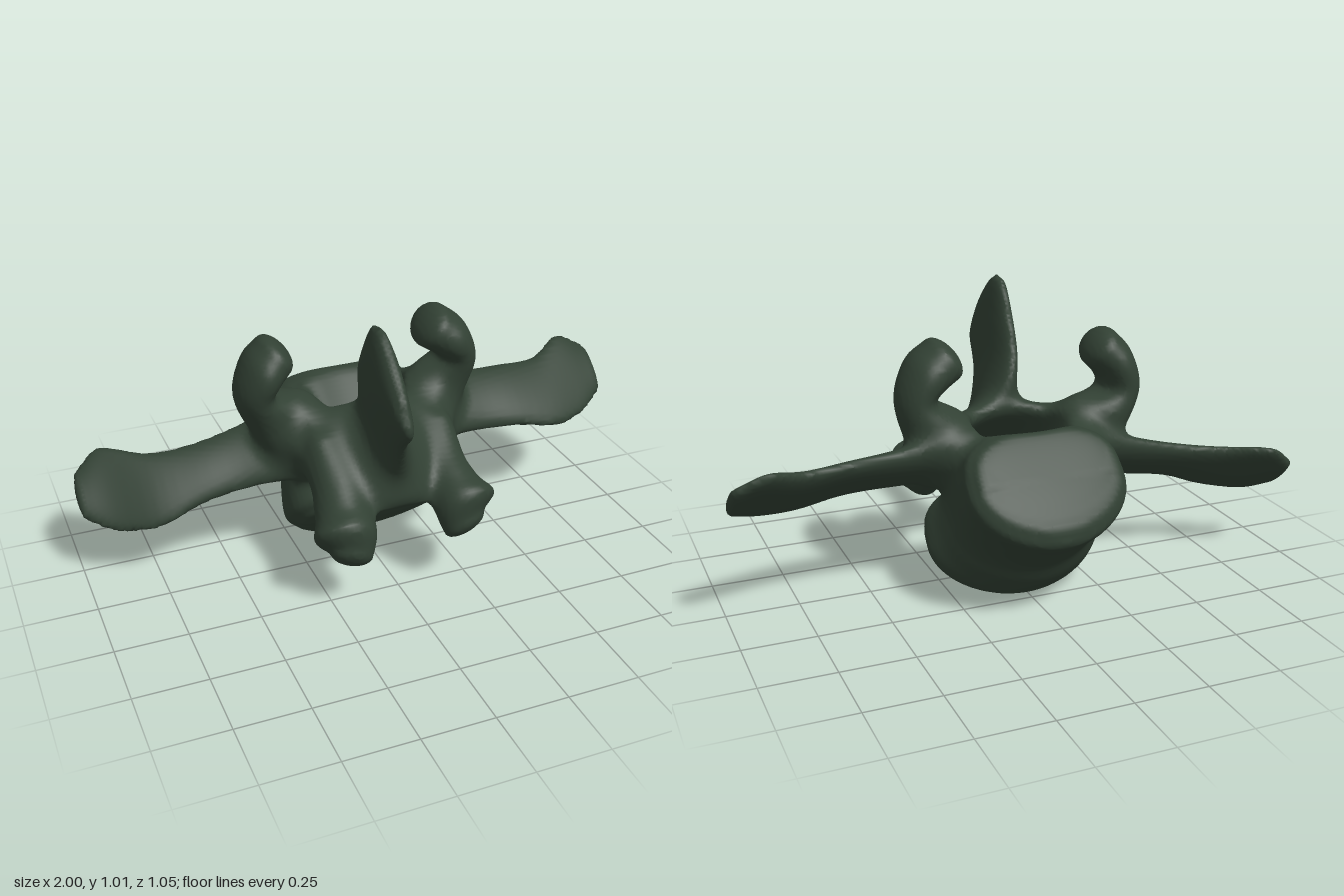
import * as THREE from 'three';

const bone = new THREE.MeshStandardMaterial({ color: 0x324134, roughness: 0.8 });
const CELL = 0.013, BLEND = 0.05;
const ORIGIN = [-1.04, -0.04, -0.6], SIZE = [160, 87, 93];

// A part is a tube of elliptical cross-sections. Each row: centre xyz, half-axis u xyz, half-axis v xyz.
// cap = roundness of the ends; power(b) = superellipse power on the +v or -v side.
function part(name, rows, cap = 0.03, power = () => 2) {
  const track = (k) => new THREE.CatmullRomCurve3(
    rows.map((r) => new THREE.Vector3(r[k], r[k + 1], r[k + 2])), false, 'catmullrom', 0.5);
  const [centre, us, vs] = [track(0), track(3), track(6)];
  const count = (rows.length - 1) * 4;
  const box = new THREE.Box3();
  const sections = Array.from({ length: count + 1 }, (_, i) => {
    const t = i / count, c = centre.getPoint(t), u = us.getPoint(t), v = vs.getPoint(t);
    v.addScaledVector(u, -u.dot(v) / u.lengthSq());
    const n = u.clone().cross(v).normalize();
    if (n.dot(centre.getTangent(t)) < 0) n.negate();
    const reach = u.length() + v.length() + cap;
    box.union(new THREE.Box3(c.clone().subScalar(reach), c.clone().addScalar(reach)));
    return { c, u, v, n };
  });
  return { name, sections, cap, power, box: box.expandByScalar(0.06) };
}

// Approximate signed distance from a point to a part
const q = new THREE.Vector3(), U = new THREE.Vector3(), V = new THREE.Vector3();
function distance({ sections, cap, power, box }, p) {
  let best = 0.2;
  if (!box.containsPoint(p)) return best;
  const last = sections.length - 2;
  for (let i = 0; i <= last; i++) {
    const A = sections[i], B = sections[i + 1];
    const s0 = q.subVectors(p, A.c).dot(A.n), s1 = q.subVectors(p, B.c).dot(B.n);
    let t = 0, h = 0;
    if (s0 >= 0 && s1 <= 0) t = s0 / (s0 - s1 || 1);
    else if (i === 0 && s0 < 0) h = -s0;
    else if (i === last && s1 > 0) [t, h] = [1, s1];
    else continue;
    q.lerpVectors(A.c, B.c, t).subVectors(p, q);
    U.lerpVectors(A.u, B.u, t);
    V.lerpVectors(A.v, B.v, t);
    const lu = U.length(), lv = V.length();
    const a = q.dot(U) / (lu * lu), b = q.dot(V) / (lv * lv), e = h / cap, m = power(b);
    const k = Math.max((Math.abs(a) ** m + Math.abs(b) ** m + e ** m) ** (1 / m), 1e-4);
    const slope = Math.hypot((Math.abs(a) / k) ** (m - 1) / lu,
      (Math.abs(b) / k) ** (m - 1) / lv, (e / k) ** (m - 1) / cap);
    best = Math.min(best, (k - 1) / Math.max(slope, 1e-3));
  }
  return best;
}

function smoothMin(a, b, k) {
  const h = Math.max(k - Math.abs(a - b), 0) / k;
  return Math.min(a, b) - h * h * k / 4;
}

// Skin the blended parts with one seamless surface, then split it into a named mesh per part
function skin(parts, hollow) {
  const [nx, ny, nz] = SIZE, step = [1, nx, nx * ny];
  const p = new THREE.Vector3();
  const field = new Float32Array(nx * ny * nz);
  const each = (visit) => {
    for (let z = 1; z < nz - 1; z++)
      for (let y = 1; y < ny - 1; y++)
        for (let x = 1; x < nx - 1; x++) visit(x + y * nx + z * nx * ny, [x, y, z]);
  };
  field.fill(0.2);
  each((id, at) => {
    p.fromArray(at).multiplyScalar(CELL).add(q.fromArray(ORIGIN));
    const solid = parts.reduce((d, s) => smoothMin(d, distance(s, p), BLEND), 0.2);
    field[id] = -smoothMin(-solid, distance(hollow, p), 0.03);
  });

  // One vertex per cell the surface passes through, at the mean of its edge crossings
  const positions = [], owner = [], vertex = new Map();
  each((id, at) => {
    const sum = [0, 0, 0];
    let hits = 0;
    for (let d = 0; d < 3; d++) {
      const d1 = (d + 1) % 3, d2 = (d + 2) % 3;
      for (let c = 0; c < 4; c++) {
        const i = c & 1, j = c >> 1;
        const from = id + i * step[d1] + j * step[d2];
        const f0 = field[from], f1 = field[from + step[d]];
        if ((f0 < 0) === (f1 < 0)) continue;
        sum[d] += f0 / (f0 - f1);
        sum[d1] += i;
        sum[d2] += j;
        hits++;
      }
    }
    if (!hits) return;
    p.fromArray(at.map((g, d) => ORIGIN[d] + CELL * (g + sum[d] / hits)));
    vertex.set(id, owner.length);
    positions.push(p.x, p.y, p.z);
    const near = parts.map((s) => distance(s, p));
    owner.push(near.indexOf(Math.min(...near)));
  });

  // One quad per grid edge the surface crosses
  const all = [], perPart = parts.map(() => []);
  each((id) => {
    for (let d = 0; d < 3; d++) {
      const inside = field[id] < 0;
      if (inside === (field[id + step[d]] < 0)) continue;
      const s1 = step[(d + 1) % 3], s2 = step[(d + 2) % 3];
      const [a, b, c, e] = [id - s1 - s2, id - s2, id, id - s1].map((i) => vertex.get(i));
      const quad = inside ? [a, b, c, a, c, e] : [a, c, b, a, e, c];
      all.push(...quad);
      perPart[owner[a]].push(...quad);
    }
  });

  const whole = new THREE.BufferGeometry();
  whole.setAttribute('position', new THREE.Float32BufferAttribute(positions, 3));
  whole.setIndex(all);
  whole.computeVertexNormals();
  return parts.map((s, i) => {
    const mesh = new THREE.Mesh(whole.clone().setIndex(perPart[i]).toNonIndexed(), bone);
    mesh.name = s.name;
    return mesh;
  });
}

export function createModel() {
  // Tilted body: round at the front, flatter towards the canal, pinched at the waist
  const parts = [part('body', [
    [0.01, 0.146, -0.045, 0.27, 0, 0, 0, -0.138, -0.115],
    [0.01, 0.168, -0.08, 0.305, 0, 0, 0, -0.15, -0.15],
    [0, 0.235, -0.15, 0.285, 0, 0, 0, -0.15, -0.15],
    [0, 0.32, -0.225, 0.26, 0, 0, 0, -0.15, -0.135],
    [0, 0.40, -0.31, 0.265, 0, 0, 0, -0.155, -0.137],
    [0, 0.455, -0.375, 0.275, 0, 0, 0, -0.155, -0.142],
    [0, 0.485, -0.40, 0.25, 0, 0, 0, -0.135, -0.12],
  ], 0.02, (b) => (b < 0 ? 3 : 1.9))];

  // Lamina: broad plate roofing the canal from side to side
  const half = [
    [0.22, 0.47, 0.085, 0, 0.12, -0.125, 0, 0.05, 0.047],
    [0.13, 0.475, 0.125, 0, 0.13, -0.14, 0, 0.048, 0.045],
  ];
  const mirrored = half.map((r) => r.map((n, i) => (i === 0 ? -n : n)));
  parts.push(part('lamina', [
    ...half, [0, 0.495, 0.15, 0, 0.13, -0.145, 0, 0.055, 0.05], ...mirrored.reverse(),
  ], 0.035));

  // Spinous process: thin blade leaning to the model's right, flaring into the lamina
  parts.push(part('spinousProcess', [
    [0, 0.47, 0.155, 0.15, 0, 0, 0, 0.09, -0.12],
    [-0.008, 0.54, 0.16, 0.095, 0, 0, 0, 0.09, -0.14],
    [-0.03, 0.62, 0.18, 0.06, 0, 0, 0, 0.08, -0.165],
    [-0.06, 0.72, 0.24, 0.045, 0, 0, 0, 0.075, -0.18],
    [-0.08, 0.82, 0.335, 0.042, 0, 0, 0, 0.09, -0.18],
    [-0.09, 0.885, 0.38, 0.036, 0, 0, 0, 0.115, -0.145],
    [-0.09, 0.915, 0.395, 0.025, 0, 0, 0, 0.10, -0.105],
  ], 0.02));

  // Pedicles and inferior articular processes, one pair per side
  for (const [side, label, drop] of [[1, 'left', 0], [-1, 'right', 0.03]]) {
    parts.push(part(label + 'Pedicle', [
      [side * 0.18, 0.39, -0.23, 0.065, 0, 0, 0, 0.09, -0.10],
      [side * 0.22, 0.475, -0.11, 0.065, 0, 0, 0, 0.095, -0.10],
      [side * 0.225, 0.53, -0.01, 0.065, 0, 0, 0, 0.10, -0.10],
    ], 0.04));
    parts.push(part(label + 'InferiorProcess', [
      [side * 0.215, 0.475, 0.05, 0.05, 0, 0, 0, 0.075, 0.065],
      [side * 0.20, 0.415, 0.15, 0.07, 0, 0, 0, 0.068, 0.06],
      [side * 0.205, 0.365 - drop, 0.245, 0.085, side * 0.02, side * 0.02, 0, 0.075, 0.07],
      [side * 0.218, 0.325 - drop, 0.315, 0.09, side * 0.05, side * 0.03, 0, 0.09, 0.08],
      [side * 0.205, 0.265 - drop, 0.335, 0.06, side * 0.045, side * 0.02, 0, 0.055, 0.06],
    ], 0.035));
  }

  // Superior articular processes: knobs hooking inward; rows are x, y, z, u.x, u.y, depth
  const knob = (label, rows) => parts.push(part(label + 'SuperiorProcess',
    rows.map(([x, y, z, a, b, d]) => [x, y, z, a, b, 0, 0, 0, d]), 0.045));
  knob('left', [
    [0.22, 0.50, -0.05, 0.10, -0.08, 0.10],
    [0.295, 0.605, -0.085, 0.085, -0.055, 0.10],
    [0.345, 0.70, -0.07, 0.068, 0.0, 0.105],
    [0.31, 0.78, -0.06, 0.055, 0.052, 0.12],
    [0.245, 0.83, -0.06, 0.048, 0.065, 0.105],
  ]);
  knob('right', [
    [-0.22, 0.48, -0.05, -0.10, -0.08, 0.10],
    [-0.315, 0.58, -0.085, -0.085, -0.065, 0.10],
    [-0.395, 0.67, -0.07, -0.07, 0.0, 0.105],
    [-0.375, 0.76, -0.06, -0.055, 0.047, 0.12],
    [-0.325, 0.815, -0.06, -0.046, 0.06, 0.10],
  ]);

  // Transverse processes: flat wings; rows are x, y, z, u.y, u.z, thickness
  const wing = (label, rows) => parts.push(part(label + 'TransverseProcess',
    rows.map(([x, y, z, b, c, t]) => [x, y, z, 0, b, c, 0, t * 0.72, t * 0.69]), 0.025));
  wing('left', [
    [0.18, 0.49, -0.10, 0.11, -0.11, 0.09],
    [0.31, 0.495, -0.10, 0.09, -0.095, 0.06],
    [0.45, 0.485, -0.10, 0.08, -0.088, 0.043],
    [0.60, 0.475, -0.10, 0.082, -0.095, 0.036],
    [0.75, 0.458, -0.11, 0.095, -0.105, 0.034],
    [0.88, 0.482, -0.165, 0.108, -0.12, 0.03],
    [0.975, 0.48, -0.185, 0.07, -0.08, 0.024],
  ]);
  wing('right', [
    [-0.18, 0.46, -0.10, 0.11, -0.11, 0.09],
    [-0.31, 0.445, -0.11, 0.09, -0.095, 0.06],
    [-0.45, 0.415, -0.12, 0.078, -0.078, 0.043],
    [-0.60, 0.383, -0.125, 0.075, -0.078, 0.036],
    [-0.75, 0.345, -0.14, 0.095, -0.093, 0.034],
    [-0.89, 0.34, -0.215, 0.108, -0.11, 0.03],
    [-0.975, 0.325, -0.23, 0.065, -0.07, 0.024],
  ]);

  // Canal hollowed out between the body and the lamina
  const canal = part('canal', [
    [0, 0.28, 0.20, 0.15, 0, 0, 0, 0.06, 0.058],
    [0, 0.54, -0.07, 0.165, 0, 0, 0, 0.06, 0.058],
    [0, 0.80, -0.34, 0.17, 0, 0, 0, 0.06, 0.058],
  ], 0.08);

  const group = new THREE.Group();
  group.name = 'vertebra';
  group.add(...skin(parts, canal));
  return group;
}
